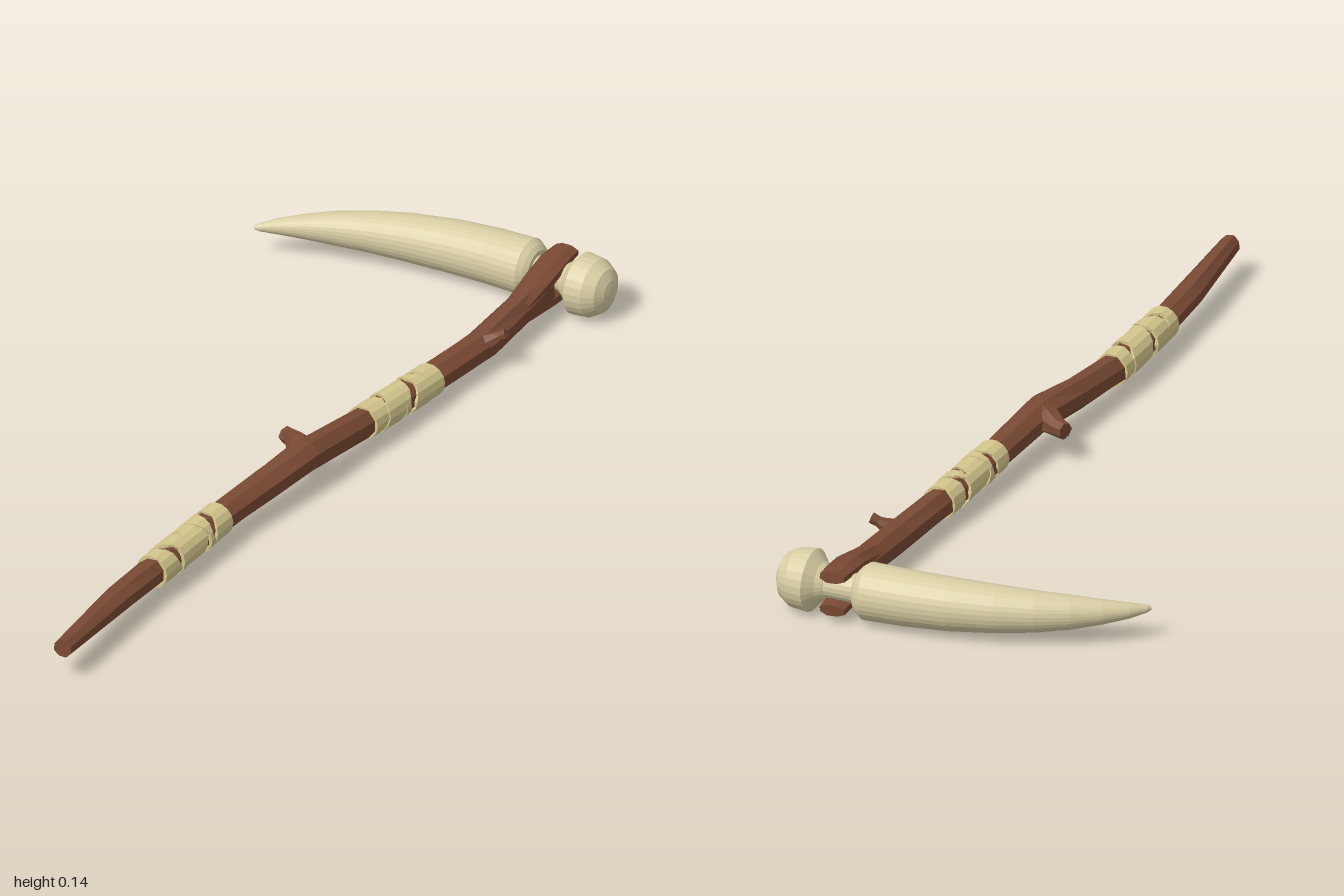
import * as THREE from 'three';

const wood = new THREE.MeshStandardMaterial({ color: 0x7a4a34 });
wood.name = 'brown wood';
const bone = new THREE.MeshStandardMaterial({ color: 0xd8cea4 });
bone.name = 'pale bone';
const cloth = new THREE.MeshStandardMaterial({ color: 0xd4c68c });
cloth.name = 'straw wrapping';

// Faceted skin over a row of rings, closed at both ends
function loft(name, rings, material) {
  const pos = [];
  const tri = (...pts) => pts.forEach((p) => pos.push(p.x, p.y, p.z));
  const n = rings[0].length;
  const middle = (ring) => ring.reduce((s, p) => s.add(p), new THREE.Vector3()).divideScalar(n);
  const first = rings[0], last = rings[rings.length - 1];
  const c0 = middle(first), c1 = middle(last);
  for (let k = 0; k < n; k++) {
    const m = (k + 1) % n;
    for (let i = 0; i < rings.length - 1; i++) {
      const a = rings[i][k], b = rings[i][m], c = rings[i + 1][m], d = rings[i + 1][k];
      tri(a, b, c);
      tri(a, c, d);
    }
    tri(c0, first[m], first[k]);
    tri(c1, last[k], last[m]);
  }
  const geo = new THREE.BufferGeometry();
  geo.setAttribute('position', new THREE.Float32BufferAttribute(pos, 3));
  geo.computeVertexNormals();
  const mesh = new THREE.Mesh(geo, material);
  mesh.name = name;
  return mesh;
}

// Tapered limb through stations [x, y, z, radius, vertical radius]; rough adds gnarls
function limb(name, stations, sides, material, rough = 0) {
  const pts = stations.map((s) => new THREE.Vector3(s[0], s[1], s[2]));
  const rings = stations.map(([, , , r, rv = r], i) => {
    const t = pts[Math.min(i + 1, pts.length - 1)].clone().sub(pts[Math.max(i - 1, 0)]).normalize();
    const u = t.clone().cross(new THREE.Vector3(0, 1, 0)).normalize();
    const v = t.clone().cross(u);
    return Array.from({ length: sides }, (_, k) => {
      const a = ((k + 0.5) / sides) * Math.PI * 2;
      const g = 1 + rough * Math.sin(k * 2.7 + i * 1.9);
      return pts[i].clone().addScaledVector(u, Math.cos(a) * r * g).addScaledVector(v, Math.sin(a) * rv * g);
    });
  });
  return loft(name, rings, material);
}

// Crooked shaft from the grip end to the fork
const shaft = [
  [0.23, 0.078, 1.0, 0.022], [0.207, 0.07, 0.74, 0.031], [0.203, 0.065, 0.6, 0.033],
  [0.2, 0.065, 0.33, 0.035], [0.213, 0.073, 0.18, 0.036], [0.23, 0.084, 0.03, 0.039],
  [0.243, 0.068, -0.18, 0.035], [0.255, 0.058, -0.42, 0.035], [0.268, 0.056, -0.62, 0.036],
  [0.264, 0.066, -0.78, 0.035, 0.037], [0.26, 0.072, -0.87, 0.034, 0.041],
];

function shaftAt(z) {
  let i = 0;
  while (i < shaft.length - 2 && shaft[i + 1][2] > z) i++;
  const f = (z - shaft[i][2]) / (shaft[i + 1][2] - shaft[i][2]);
  return [0, 1].map((j) => THREE.MathUtils.lerp(shaft[i][j], shaft[i + 1][j], f));
}

// Wrapping of slanted bands with wedge-shaped gaps between them
function wrapping(name, front, back, phase) {
  const group = new THREE.Group();
  group.name = name;
  const bands = 5, sides = 14;
  for (let b = 0; b < bands; b++) {
    const r = 0.0385 + (b % 2) * 0.0015;
    const edge = (j, a, gapSide) => {
      const z = THREE.MathUtils.lerp(front, back, j / bands);
      if (j === 0 || j === bands) return z;
      const p = phase + j * 2.1;
      const gap = Math.max(0, Math.sin(a + p)) * 0.011 + 0.001;
      return z + Math.sin(a + p * 1.6) * 0.014 + 0.003 * Math.sin(a * 4 + p) + gap * gapSide;
    };
    const ring = (j, gapSide, radius) => Array.from({ length: sides }, (_, k) => {
      const a = (k / sides) * Math.PI * 2;
      const z = edge(j, a, gapSide);
      const [x, y] = shaftAt(z);
      return new THREE.Vector3(x + Math.cos(a) * radius, y - Math.sin(a) * radius, z);
    });
    group.add(loft('wrapBand', [
      ring(b, -1, 0.028), ring(b, -1, r), ring(b + 1, 1, r), ring(b + 1, 1, 0.028),
    ], cloth));
  }
  return group;
}

export function createModel() {
  const model = new THREE.Group();
  model.name = 'boneScythe';

  model.add(limb('shaft', shaft, 8, wood, 0.05));

  // Fork gripping the blade above and below
  for (const s of [1, -1]) {
    model.add(limb(s > 0 ? 'upperProng' : 'lowerProng', [
      [0.264, 0.066 + s * 0.01, -0.77, 0.031, 0.025],
      [0.26, 0.073 + s * 0.027, -0.87, 0.034, 0.021],
      [0.256, 0.073 + s * 0.036, -0.93, 0.034, 0.018],
      [0.254, 0.073 + s * 0.039, -0.98, 0.031, 0.014],
    ], 8, wood, 0.04));
  }

  // Broken side twigs
  model.add(limb('rightTwig', [
    [0.235, 0.08, 0.04, 0.038], [0.195, 0.085, 0.0, 0.03],
    [0.165, 0.083, -0.02, 0.021], [0.143, 0.082, -0.028, 0.019],
  ], 7, wood, 0.06));
  model.add(limb('leftTwig', [
    [0.27, 0.062, -0.6, 0.026], [0.297, 0.078, -0.62, 0.016],
    [0.31, 0.087, -0.625, 0.012], [0.323, 0.094, -0.63, 0.013],
  ], 7, wood, 0.06));

  model.add(wrapping('frontWrapping', 0.6, 0.33, 0.6));
  model.add(wrapping('backWrapping', -0.18, -0.43, 2.2));

  // Curved tusk blade
  const y = 0.073;
  model.add(limb('tuskBlade', [
    [0.212, y, -0.93, 0.044], [0.204, y, -0.93, 0.054], [0.19, y, -0.93, 0.064],
    [0.1, y, -0.927, 0.062], [0.0, y, -0.916, 0.059], [-0.1, y, -0.896, 0.053],
    [-0.18, y, -0.873, 0.046], [-0.25, y, -0.845, 0.038], [-0.31, y, -0.815, 0.028],
    [-0.36, y, -0.784, 0.018], [-0.391, y, -0.759, 0.009], [-0.399, y, -0.752, 0.004],
  ], 30, bone));

  // Neck through the fork, and the rounded knob
  model.add(limb('neck', [[0.19, y, -0.93, 0.033], [0.31, y, -0.93, 0.033]], 20, bone));
  model.add(limb('knob', [
    [0.285, y, -0.93, 0.036], [0.3, y, -0.93, 0.046], [0.32, y, -0.93, 0.07],
    [0.36, y, -0.93, 0.066], [0.385, y, -0.93, 0.05], [0.397, y, -0.93, 0.027],
    [0.4, y, -0.93, 0.012],
  ], 26, bone));

  return model;
}
